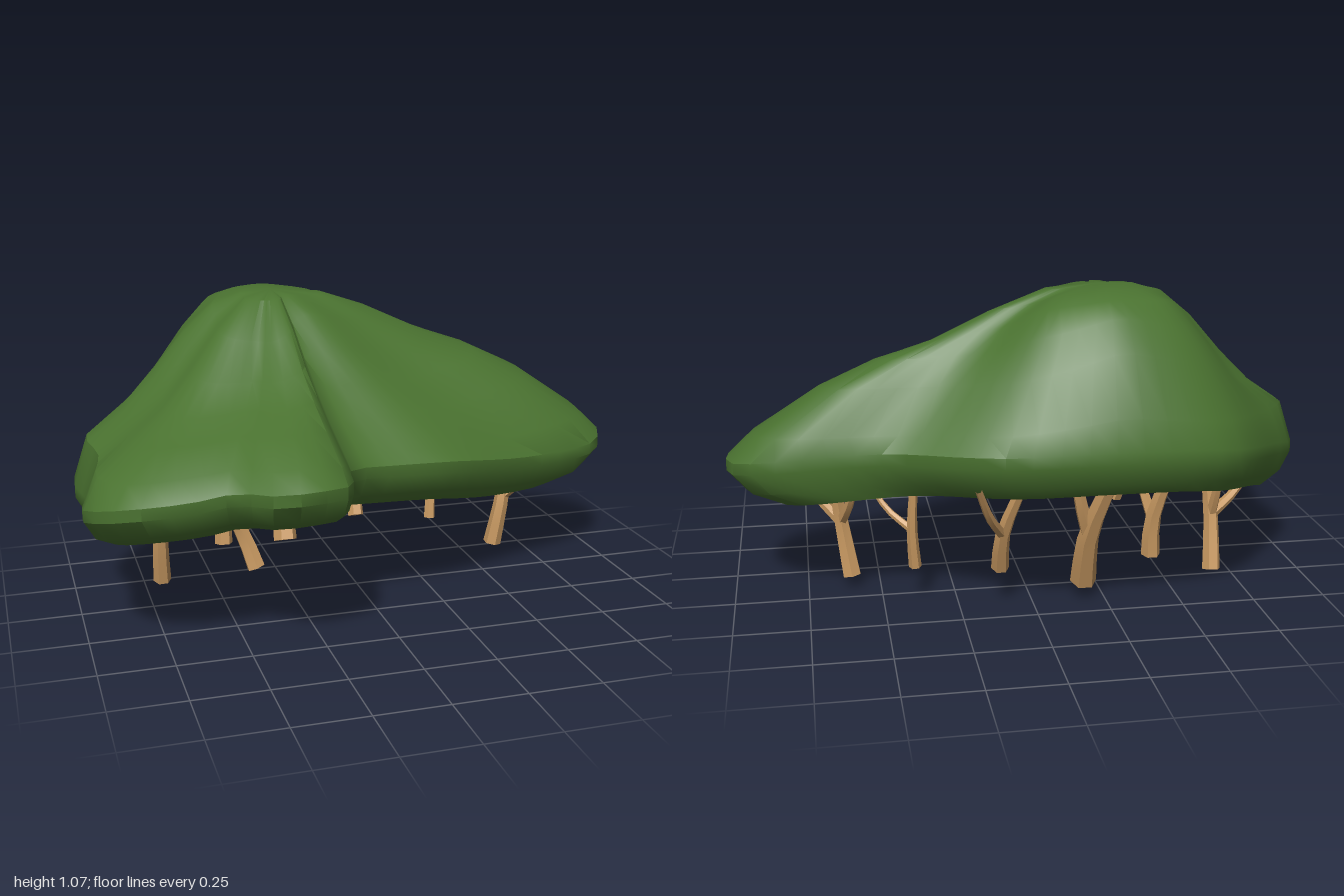
import * as THREE from 'three';
import { toCreasedNormals } from 'three/addons/utils/BufferGeometryUtils.js';

const leafGreen = new THREE.MeshStandardMaterial({ color: 0x4a7230 });
const barkTan = new THREE.MeshStandardMaterial({ color: 0xc99a62 });

// Plan outline of the canopy, counter-clockwise from above: x, rim height, z
const OUTLINE = [
  [1, .47, -.1], [.99, .48, -.25], [.9, .5, -.34], [.5, .54, -.43], [.23, .57, -.61],
  [.1, .58, -.67], [-.2, .59, -.705], [-.5, .58, -.68], [-.63, .56, -.63], [-.87, .48, -.33],
  [-.99, .43, -.14], [-.97, .43, .1], [-1, .48, .37], [-.9, .52, .52], [-.7, .54, .57],
  [-.56, .56, .58], [-.45, .58, .7], [-.3, .58, .69], [-.2, .57, .63], [-.16, .55, .45],
  [-.11, .54, .375], [.03, .53, .345], [.23, .52, .325], [.6, .46, .165], [.93, .45, .02],
].map(p => new THREE.Vector3(...p));

// Dome heights at each step from the crown outwards, by compass angle in degrees
const CROWN = new THREE.Vector3(-.25, 1.07, -.25);
const STEPS = [.15, .3, .45, .6, .75, .93];
const PROFILES = [
  [-150, 1.07, 1.06, 1.03, .94, .82, .66],
  [-90, 1.07, 1.07, 1.05, 1.01, .91, .72],
  [-37, 1.06, 1.05, 1.02, .93, .8, .65],
  [-13, 1.06, 1.04, .96, .86, .77, .62],
  [0, 1.05, .96, .88, .84, .75, .59],
  [26, 1.05, .96, .85, .76, .67, .55],
  [50, 1.06, 1, .89, .78, .69, .59],
  [78, 1.06, 1.01, .9, .79, .69, .6],
  [95, 1.05, .92, .82, .77, .73, .67],
  [139, 1.05, .95, .82, .72, .66, .59],
  [180, 1.07, 1.05, .96, .83, .71, .61],
];

function profileHeight(degrees, step) {
  const angle = THREE.MathUtils.euclideanModulo(degrees + 150, 360) - 150;
  const found = PROFILES.findIndex(row => row[0] > angle);
  const next = found < 0 ? 0 : found;
  const from = PROFILES.at(next - 1), to = PROFILES[next];
  const end = next === 0 ? 210 : to[0];
  return THREE.MathUtils.mapLinear(angle, from[0], end, from[step + 1], to[step + 1]);
}

// Neighbouring angles are blended, more widely near the crown
function domeHeight(p, step) {
  const angle = Math.atan2(p.z - CROWN.z, p.x - CROWN.x) * 180 / Math.PI;
  const spread = 18 - step * 2.8;
  const offsets = [-1, -.5, 0, .5, 1];
  return offsets.reduce((sum, o) => sum + profileHeight(angle + o * spread, step), 0) / offsets.length;
}

// Rings run from the underside centre, round the rim, up to the crown
function canopyGeometry() {
  const count = 64;
  const rim = new THREE.CatmullRomCurve3(OUTLINE, true, 'centripetal')
    .getSpacedPoints(count).slice(0, count);
  const rings = [
    [0, () => .415],
    [.35, p => .33 + (p.y - .13) * .2],
    [.65, p => .16 + (p.y - .13) * .6],
    [.86, p => p.y - .13],
    [.95, p => p.y - .085],
    [1, p => p.y - .015],
    [1, p => p.y + .025],
    ...STEPS.map((t, s) => [t, p => domeHeight(p, s)]).reverse(),
    [0, () => CROWN.y],
  ];
  const pos = [], index = [];
  for (const [t, height] of rings) {
    for (const p of rim) {
      pos.push(CROWN.x + (p.x - CROWN.x) * t, height(p), CROWN.z + (p.z - CROWN.z) * t);
    }
  }
  const last = rings.length - 2;
  for (let k = 0; k <= last; k++) {
    for (let j = 0; j < count; j++) {
      const a = k * count + j, b = k * count + (j + 1) % count;
      const c = a + count, d = b + count;
      if (k === 0) index.push(a, d, c);
      else if (k === last) index.push(a, b, c);
      else index.push(a, b, c, b, d, c);
    }
  }
  const geo = new THREE.BufferGeometry();
  geo.setAttribute('position', new THREE.Float32BufferAttribute(pos, 3));
  geo.setIndex(index);
  return toCreasedNormals(geo, .6);
}

// Tapered six-sided limb along a path, closed at its lower end
function limb(name, points, r0, r1) {
  const group = new THREE.Group();
  group.name = name;
  const path = new THREE.CatmullRomCurve3(points);
  const segs = 5, sides = 6;
  const geo = new THREE.TubeGeometry(path, segs, r0, sides);
  const pos = geo.attributes.position, v = new THREE.Vector3();
  for (let i = 0; i < pos.count; i++) {
    const u = Math.floor(i / (sides + 1)) / segs;
    const c = path.getPointAt(u);
    v.fromBufferAttribute(pos, i).sub(c).multiplyScalar(1 + (r1 / r0 - 1) * u).add(c);
    pos.setXYZ(i, v.x, v.y, v.z);
  }
  const bark = new THREE.Mesh(toCreasedNormals(geo, .6), barkTan);
  bark.name = name + 'Bark';
  const cap = new THREE.Mesh(new THREE.CircleGeometry(r0, sides), barkTan);
  cap.name = name + 'End';
  cap.position.copy(path.getPointAt(0));
  cap.lookAt(cap.position.clone().sub(path.getTangentAt(0)));
  group.add(bark, cap);
  return group;
}

// Stem from base through fork to tip, with sagging side branches from the fork
function tree(radius, base, fork, tip, ...branchTips) {
  const group = new THREE.Group();
  group.name = 'tree';
  const [b, f, t] = [base, fork, tip].map(p => new THREE.Vector3(...p));
  group.add(limb('stem', [b, f, t], radius, radius * .55));
  for (const end of branchTips) {
    const e = new THREE.Vector3(...end);
    const mid = f.clone().lerp(e, .55);
    mid.y -= .025;
    group.add(limb('branch', [f, mid, e], radius * .62, radius * .35));
  }
  return group;
}

export function createModel() {
  const model = new THREE.Group();
  model.name = 'treeGrove';

  const canopy = new THREE.Mesh(canopyGeometry(), leafGreen);
  canopy.name = 'canopy';
  model.add(canopy);

  // Forked trees under the canopy, from the model's right to its left
  model.add(
    tree(.033, [-.685, .008, -.225], [-.69, .2, -.18], [-.66, .46, -.15], [-.88, .36, -.08], [-.7, .45, -.26]),
    tree(.034, [-.44, .105, -.285], [-.44, .24, -.3], [-.5, .48, -.36], [-.39, .46, -.25]),
    tree(.033, [-.41, .17, .155], [-.45, .29, .13], [-.56, .5, .15], [-.38, .47, .03]),
    tree(.046, [-.18, .06, -.37], [-.18, .26, -.45], [-.24, .5, -.55], [-.12, .5, -.5], [-.28, .47, -.38]),
    tree(.031, [.11, .13, -.38], [.11, .27, -.44], [.05, .48, -.52], [.21, .48, -.59]),
    tree(.022, [.39, .12, -.3], [.4, .26, -.32], [.39, .47, -.34], [.54, .41, -.22]),
    tree(.034, [.6, .045, -.155], [.63, .24, -.14], [.66, .45, -.17], [.76, .42, -.07], [.58, .44, -.26]),
  );
  return model;
}
